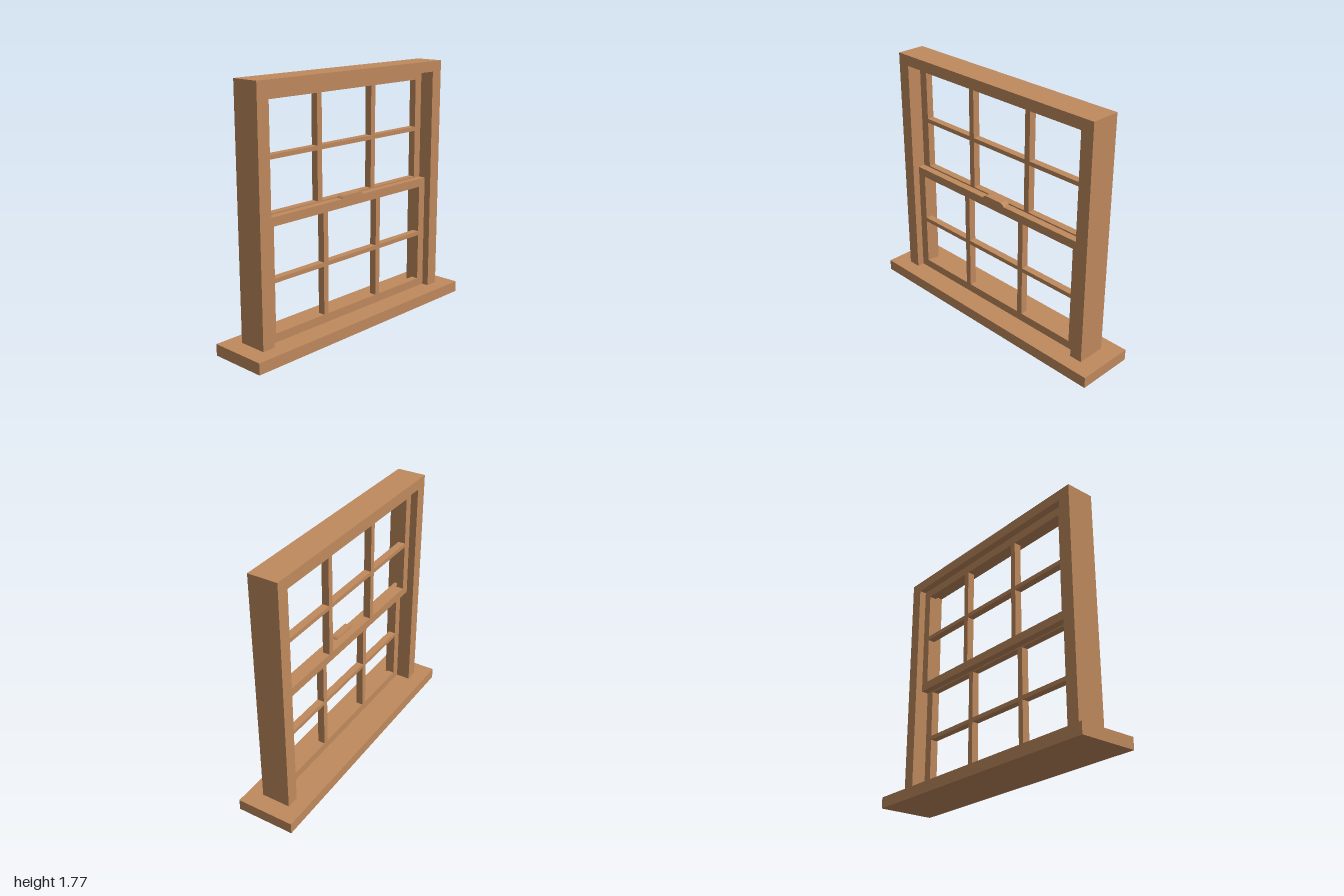
import * as THREE from 'three';

const wood = new THREE.MeshStandardMaterial({ color: 0xc08a5e });

// Sizes: the window lies in the YZ plane and is thin along x
const SILL_TOP = 0.08, FRAME_TOP = 1.775, HEAD_BOTTOM = 1.7;
const FRAME_HALF = 0.875, OPENING_HALF = 0.783;
const FRAME_DEPTH = 0.208, SASH_DEPTH = 0.052;
const SASH_HEIGHT = 0.835, RAIL = 0.06, STILE = 0.064;
const BAR_V = 0.042, BAR_H = 0.03;

function polygon(points, Type = THREE.Shape) {
  return new Type(points.map(([u, v]) => new THREE.Vector2(u, v)));
}

function rect(u0, v0, u1, v1, Type) {
  return polygon([[u0, v0], [u1, v0], [u1, v1], [u0, v1]], Type);
}

// Extrude a shape drawn in (z, y) along x, starting at x0
function slab(name, shape, x0, depth) {
  const geometry = new THREE.ExtrudeGeometry(shape, { depth, bevelEnabled: false, curveSegments: 5 });
  geometry.rotateY(Math.PI / 2);
  geometry.translate(x0, 0, 0);
  const mesh = new THREE.Mesh(geometry, wood);
  mesh.name = name;
  return mesh;
}

// Sash with 3 x 2 panes cut out, leaving stiles, rails and glazing bars
function sash(name, bottom, x0) {
  const shape = rect(-OPENING_HALF, bottom, OPENING_HALF, bottom + SASH_HEIGHT);
  const half = OPENING_HALF - STILE;
  // The middle pane is wider than the outer two
  const barCentre = 0.26;
  const columns = [
    [-half, -barCentre - BAR_V / 2],
    [-barCentre + BAR_V / 2, barCentre - BAR_V / 2],
    [barCentre + BAR_V / 2, half],
  ];
  const paneHeight = (SASH_HEIGHT - 2 * RAIL - BAR_H) / 2;
  for (const [u0, u1] of columns) {
    for (let row = 0; row < 2; row++) {
      const v0 = bottom + RAIL + row * (paneHeight + BAR_H);
      shape.holes.push(rect(u0, v0, u1, v0 + paneHeight, THREE.Path));
    }
  }
  return slab(name, shape, x0, SASH_DEPTH);
}

export function createModel() {
  const group = new THREE.Group();
  group.name = 'sashWindow';

  // Sill board
  const sill = new THREE.Mesh(new THREE.BoxGeometry(0.416, SILL_TOP, 2), wood);
  sill.position.y = SILL_TOP / 2;
  sill.name = 'sill';
  group.add(sill);

  // Jambs and head in one piece, open at the bottom
  const frame = polygon([
    [-FRAME_HALF, SILL_TOP], [-OPENING_HALF, SILL_TOP], [-OPENING_HALF, HEAD_BOTTOM],
    [OPENING_HALF, HEAD_BOTTOM], [OPENING_HALF, SILL_TOP], [FRAME_HALF, SILL_TOP],
    [FRAME_HALF, FRAME_TOP], [-FRAME_HALF, FRAME_TOP],
  ]);
  group.add(slab('frame', frame, -FRAME_DEPTH / 2, FRAME_DEPTH));

  // Sliding sashes, side by side in depth
  group.add(sash('lowerSash', SILL_TOP, 0));
  group.add(sash('upperSash', HEAD_BOTTOM - SASH_HEIGHT, -SASH_DEPTH));

  // Rounded catch on top of the lower sash
  const y = SILL_TOP + SASH_HEIGHT;
  const latch = new THREE.Shape();
  latch.moveTo(-0.1, y);
  latch.lineTo(0.1, y);
  latch.quadraticCurveTo(0.09, y + 0.02, 0.065, y + 0.021);
  latch.lineTo(-0.065, y + 0.021);
  latch.quadraticCurveTo(-0.09, y + 0.02, -0.1, y);
  group.add(slab('catch', latch, 0, SASH_DEPTH));

  return group;
}
